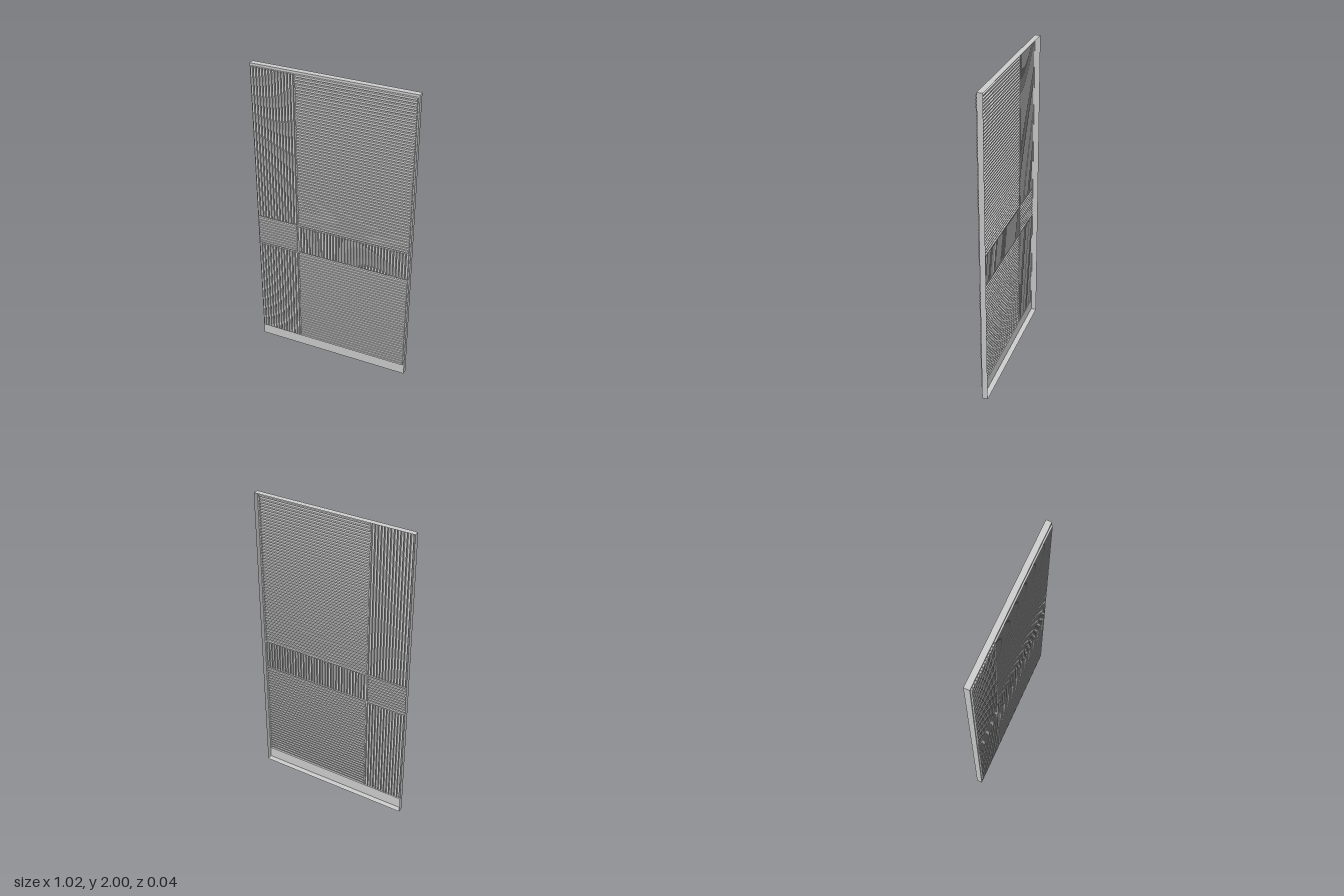
import * as THREE from 'three';

const W = 0.51, H = 2, BACK = -0.023, FACE = 0.012, TOP = 0.021;
const GROOVE = 0.003, SLOPE = 0.002, PITCH = 0.02;

// Ribbed panels: x0, x1, y0, y1, direction of the ribs
const PANELS = [
  ['upperNarrowPanel', -0.504, -0.234, 0.97, 1.985, 'vertical'],
  ['upperWidePanel', -0.226, 0.502, 0.97, 1.985, 'horizontal'],
  ['middleNarrowPanel', -0.504, -0.234, 0.77, 0.962, 'horizontal'],
  ['middleWidePanel', -0.226, 0.502, 0.77, 0.962, 'vertical'],
  ['lowerNarrowPanel', -0.504, -0.234, 0.076, 0.762, 'vertical'],
  ['lowerWidePanel', -0.226, 0.502, 0.076, 0.762, 'horizontal'],
];

const material = new THREE.MeshStandardMaterial({
  color: 0xcccccc, side: THREE.DoubleSide, flatShading: true,
});

// Corners of a rectangle, counterclockwise from the front
const rect = (x0, x1, y0, y1, z) => [[x0, y0, z], [x1, y0, z], [x1, y1, z], [x0, y1, z]];

// Pressed sheet: hollow ribs with sloped sides, joined by flat grooves
function ribbedGeometry(x0, x1, y0, y1, direction) {
  const pos = [];
  const quad = (a, b, c, d) => pos.push(...a, ...b, ...c, ...a, ...c, ...d);
  const vertical = direction === 'vertical';
  const start = vertical ? x0 : y0;
  const length = vertical ? x1 - x0 : y1 - y0;
  const count = Math.round((length + GROOVE) / PITCH);
  const step = (length + GROOVE) / count;
  const area = (a, b, inset, z) => vertical
    ? rect(a + inset, b - inset, y0 + inset, y1 - inset, z)
    : rect(x0 + inset, x1 - inset, a + inset, b - inset, z);
  for (let i = 0; i < count; i++) {
    const a = start + i * step, b = a + step - GROOVE;
    const base = area(a, b, 0, FACE), top = area(a, b, SLOPE, TOP);
    quad(...top);
    for (let k = 0; k < 4; k++) {
      const n = (k + 1) % 4;
      quad(base[k], base[n], top[n], top[k]);
    }
    if (i < count - 1) quad(...area(b, b + GROOVE, 0, FACE));
  }
  const geometry = new THREE.BufferGeometry();
  geometry.setAttribute('position', new THREE.Float32BufferAttribute(pos, 3));
  geometry.computeVertexNormals();
  return geometry;
}

export function createModel() {
  const group = new THREE.Group();
  group.name = 'ribbedDoorPanel';
  const add = (name, geometry) => {
    const mesh = new THREE.Mesh(geometry, material);
    mesh.name = name;
    group.add(mesh);
    return mesh;
  };

  // Flat face with an opening for every ribbed panel
  const outline = (x0, x1, y0, y1) => rect(x0, x1, y0, y1, 0).map(([x, y]) => new THREE.Vector2(x, y));
  const face = new THREE.Shape(outline(-W, W, 0, H));
  for (const [, x0, x1, y0, y1] of PANELS) {
    face.holes.push(new THREE.Path(outline(x0, x1, y0, y1).reverse()));
  }
  add('faceSheet', new THREE.ShapeGeometry(face)).position.z = FACE;

  for (const [name, ...size] of PANELS) add(name, ribbedGeometry(...size));

  // Folded flanges around the open back
  const depth = FACE - BACK, midZ = (FACE + BACK) / 2;
  for (const [name, s] of [['leftFlange', 1], ['rightFlange', -1]]) {
    const flange = add(name, new THREE.PlaneGeometry(depth, H));
    flange.rotation.y = s * Math.PI / 2;
    flange.position.set(s * W, H / 2, midZ);
  }
  for (const [name, s, y] of [['topFlange', -1, H], ['bottomFlange', 1, 0]]) {
    const flange = add(name, new THREE.PlaneGeometry(2 * W, depth));
    flange.rotation.x = s * Math.PI / 2;
    flange.position.set(0, y, midZ);
  }
  return group;
}
